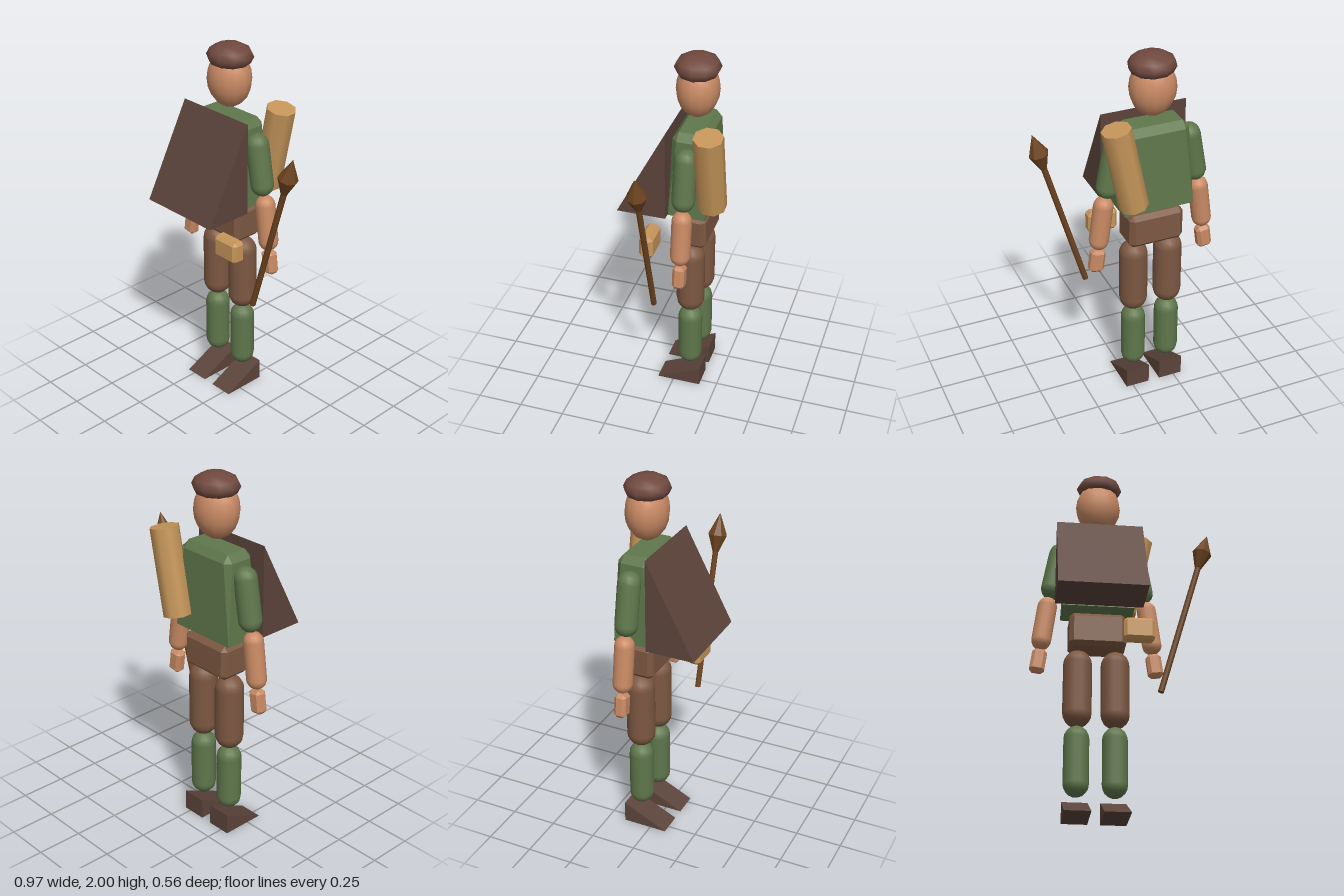
import * as THREE from 'three';
import { ConvexGeometry } from 'three/addons/geometries/ConvexGeometry.js';

const CX = -0.13, CZ = -0.08; // the figure's own axis
const V = (x, y, z) => new THREE.Vector3(x, y, z);
const mat = (color, flatShading = false) => new THREE.MeshStandardMaterial({ color, flatShading });

const skin = mat(0xc98a64), green = mat(0x5f774c), trousers = mat(0x7d5842);
const capBrown = mat(0x70493f), darkBrown = mat(0x5c443b), tan = mat(0xc6965a);
const wood = mat(0x6e4420), woodFlat = mat(0x6e4420, true);

export function createModel() {
  const model = new THREE.Group();

  const add = (name, geometry, material, x = 0, y = 0, z = 0) => {
    const mesh = new THREE.Mesh(geometry, material);
    mesh.name = name;
    mesh.position.set(x, y, z);
    model.add(mesh);
    return mesh;
  };

  // Box with chamfered edges
  const chamferBox = (w, h, d, b) => {
    const pts = [];
    for (const x of [-w / 2, w / 2]) for (const y of [-h / 2, h / 2]) for (const z of [-d / 2, d / 2]) {
      const sx = Math.sign(x) * b, sy = Math.sign(y) * b, sz = Math.sign(z) * b;
      pts.push(V(x, y - sy, z - sz), V(x - sx, y, z - sz), V(x - sx, y - sy, z));
    }
    return new ConvexGeometry(pts);
  };

  // Ramp with an upright back and a slope that falls towards the front
  const wedge = (w, h, zBack, zFront) => new ConvexGeometry([-w / 2, w / 2].flatMap(
    (x) => [V(x, 0, zBack), V(x, h, zBack), V(x, 0, zFront)]));

  // Stretch a part along the line from a to b
  const between = (mesh, a, b) => {
    mesh.position.copy(a).add(b).multiplyScalar(0.5);
    mesh.quaternion.setFromUnitVectors(V(0, 1, 0), b.clone().sub(a).normalize());
    return mesh;
  };
  const limb = (name, a, b, r, material) =>
    between(add(name, new THREE.CapsuleGeometry(r, a.distanceTo(b), 5, 14), material), a, b);

  // Head and cap
  add('head', new THREE.SphereGeometry(1, 14, 10), skin, CX, 1.81, CZ).scale.set(0.124, 0.152, 0.112);
  add('cap', new THREE.SphereGeometry(1, 10, 6), capBrown, CX + 0.005, 1.933, CZ).scale.set(0.127, 0.068, 0.12);

  // Torso: tapering upwards, with a chamfered top
  const torso = [];
  for (const sx of [-1, 1]) for (const sz of [-1, 1]) {
    torso.push(V(sx * 0.194, 1.15, sz * 0.1));
    torso.push(V(sx * 0.176, 1.585, sz * 0.06), V(sx * 0.145, 1.585, sz * 0.09));
    torso.push(V(sx * 0.142, 1.625, sz * 0.058));
  }
  add('torso', new ConvexGeometry(torso), green, CX, 0, CZ);
  add('hips', chamferBox(0.305, 0.19, 0.18, 0.024), trousers, CX, 1.025, CZ);

  // Sloping plate on the chest
  add('chestPlate', wedge(0.475, 0.5, 0.02, 0.284), darkBrown, CX + 0.003, 1.155, 0);

  for (const s of [-1, 1]) {
    const side = s > 0 ? 'left' : 'right';
    const at = (dx, y) => V(CX + s * dx, y, CZ);

    // Arm
    limb(side + 'UpperArm', at(0.207, 1.505), at(0.246, 1.29), 0.061, green);
    limb(side + 'Forearm', at(0.27, 1.182), at(0.297, 0.98), 0.053, skin);
    const hand = add(side + 'Hand', chamferBox(0.08, 0.13, 0.065, 0.017), skin, CX + s * 0.31, 0.858, CZ);
    hand.rotation.z = s * 0.14;

    // Leg
    limb(side + 'Thigh', at(0.1, 0.848), at(0.1, 0.572), 0.077, trousers);
    limb(side + 'Shin', at(0.1, 0.433), at(0.1, 0.187), 0.067, green);
    add(side + 'Foot', wedge(0.135, 0.115, -0.155, 0.09), darkBrown, CX + s * 0.1, 0, 0);
  }

  // Belt pouch
  add('pouch', chamferBox(0.165, 0.125, 0.077, 0.018), tan, 0.074, 0.973, 0.117);

  // Quiver slung behind the left shoulder
  const quiverTop = V(0.12, 1.682, -0.207), quiverBase = V(0.024, 1.226, -0.207);
  between(add('quiver', new THREE.CylinderGeometry(0.078, 0.078, quiverTop.distanceTo(quiverBase), 8), tan),
    quiverTop, quiverBase).rotateY(Math.PI / 8);

  // Spear: shaft and pointed head
  const butt = V(0.193, 0.655, 0.058), neck = V(0.406, 1.392, 0.058), tip = V(0.462, 1.595, 0.058);
  between(add('spearShaft', new THREE.CylinderGeometry(0.016, 0.016, butt.distanceTo(neck), 8), wood), butt, neck);
  const half = neck.distanceTo(tip) / 2;
  const profile = [[0, -half], [0.018, -half], [0.053, -0.012], [0, half]].map(([x, y]) => new THREE.Vector2(x, y));
  between(add('spearHead', new THREE.LatheGeometry(profile, 8), woodFlat), neck, tip);

  return model;
}
